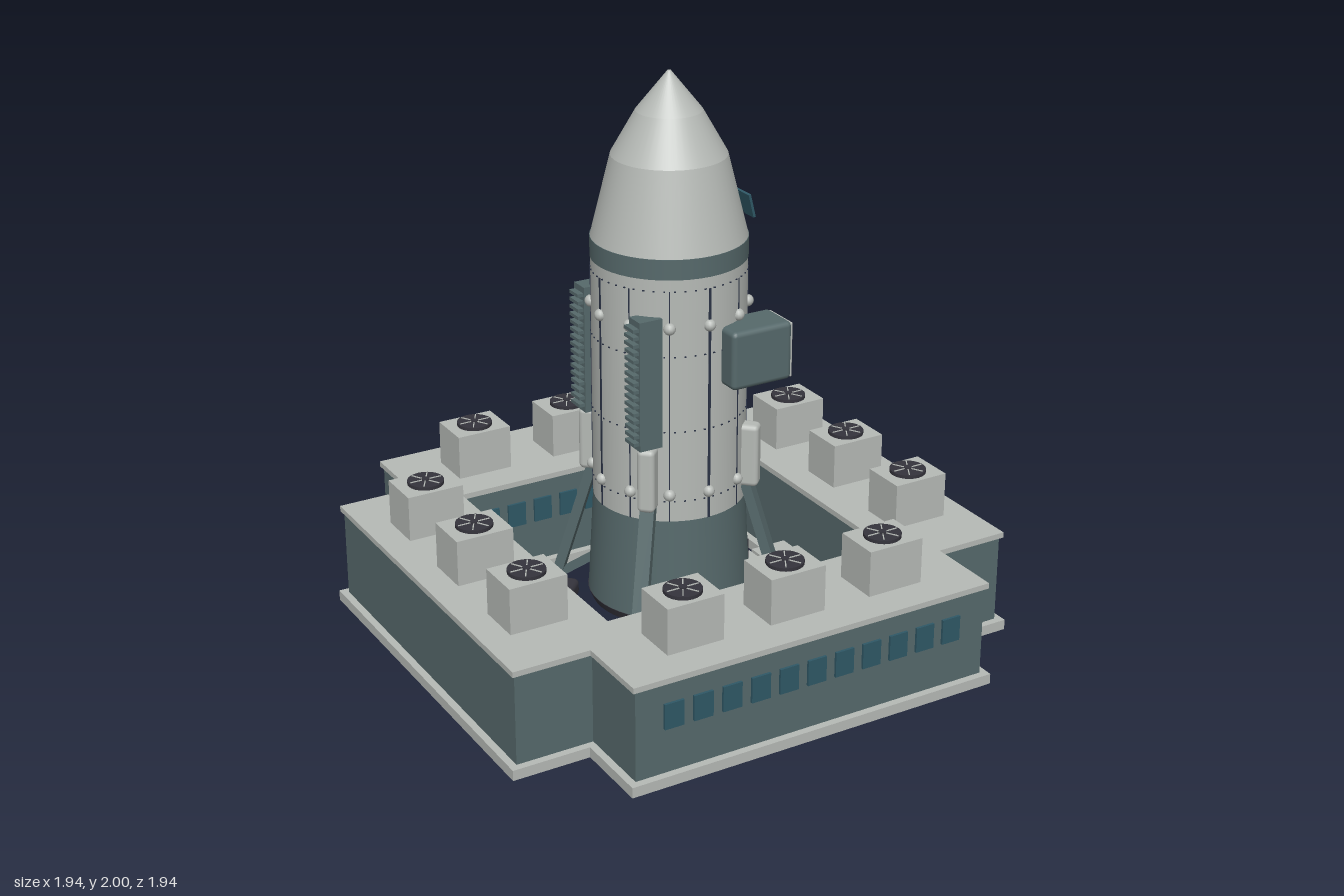
import * as THREE from 'three';
import { RoundedBoxGeometry } from 'three/addons/geometries/RoundedBoxGeometry.js';

const mat = (name, color) => Object.assign(new THREE.MeshStandardMaterial({ color }), { name });

export function createModel() {
  const light = mat('light grey', 0xb6bab6);
  const teal = mat('slate teal', 0x56696b);
  const glass = mat('window blue', 0x2f5866);
  const dark = mat('charcoal', 0x35343c);
  const seam = mat('seam navy', 0x2b3346);

  const model = new THREE.Group();
  model.name = 'rocketBase';

  const add = (parent, name, geo, material, x = 0, y = 0, z = 0) => {
    const mesh = new THREE.Mesh(geo, material);
    mesh.name = name;
    mesh.position.set(x, y, z);
    parent.add(mesh);
    return mesh;
  };
  const group = (parent, name) => {
    const g = new THREE.Group();
    g.name = name;
    parent.add(g);
    return g;
  };
  const box = (w, h, d) => new THREE.BoxGeometry(w, h, d);
  const tube = (rTop, rBottom, y0, y1, open = false) =>
    new THREE.CylinderGeometry(rTop, rBottom, y1 - y0, 48, 1, open).translate(0, (y0 + y1) / 2, 0);

  // Cross-shaped slab with a square courtyard
  const crossSlab = (outer, notch, hole, y0, y1) => {
    const o = outer, n = notch, h = hole;
    const shape = new THREE.Shape([
      [o, -n], [o, n], [n, n], [n, o], [-n, o], [-n, n],
      [-o, n], [-o, -n], [-n, -n], [-n, -o], [n, -o], [n, -n],
    ].map(([x, y]) => new THREE.Vector2(x, y)));
    shape.holes.push(new THREE.Path([[h, h], [h, -h], [-h, -h], [-h, h]].map(([x, y]) => new THREE.Vector2(x, y))));
    return new THREE.ExtrudeGeometry(shape, { depth: y1 - y0, bevelEnabled: false })
      .rotateX(-Math.PI / 2).translate(0, y0, 0);
  };

  const building = group(model, 'building');
  building.position.set(-0.003, 0, -0.003);
  add(building, 'baseSlab', crossSlab(0.968, 0.693, 0.525, 0, 0.037), light);
  add(building, 'walls', crossSlab(0.942, 0.667, 0.553, 0.037, 0.358), teal);
  add(building, 'roofSlab', crossSlab(0.952, 0.678, 0.54, 0.358, 0.378), light);
  add(building, 'doorStep', box(0.04, 0.014, 0.16), light, 0.956, 0.043, 0);

  // Window rows: outer and courtyard walls that face +z or +x
  for (const [angle, dist, count] of [[0, 0.942, 11], [0, -0.553, 9], [Math.PI / 2, 0.942, 11], [Math.PI / 2, -0.553, 9]]) {
    const row = group(building, 'windowRow');
    row.rotation.y = angle;
    for (let i = 0; i < count; i++) {
      add(row, 'window', box(0.07, 0.09, 0.009), glass, (i - (count - 1) / 2) * 0.1062, 0.241, dist + 0.0045);
    }
  }

  // Roof ventilation units
  const ventUnit = (x, z) => {
    const g = group(building, 'ventUnit');
    g.position.set(x, 0.378, z);
    add(g, 'ventBox', box(0.207, 0.163, 0.165), light, 0, 0.0815, 0);
    add(g, 'fanDisc', new THREE.CylinderGeometry(0.064, 0.064, 0.012, 24), dark, 0, 0.169, 0);
    for (let i = 0; i < 3; i++) {
      add(g, 'fanSpoke', box(0.115, 0.004, 0.004), light, 0, 0.1755, 0).rotation.y = i * Math.PI / 3;
    }
    add(g, 'fanHub', new THREE.CylinderGeometry(0.014, 0.014, 0.006, 12), dark, 0, 0.177, 0);
  };
  for (const s of [-1, 1]) {
    for (const t of [-0.383, 0, 0.383]) {
      ventUnit(t, s * 0.748);
      ventUnit(s * 0.748, t);
    }
  }

  // Gangway to the rocket door
  add(model, 'gangway', box(0.14, 0.02, 0.17), light, 0.47, 0.11, 0);
  add(model, 'gangwayTip', box(0.13, 0.016, 0.17), light, 0.325, 0.11, 0);

  // Rocket hull
  const R = 0.265;
  const rocket = group(model, 'rocket');
  add(rocket, 'skirt', tube(R, 0.285, 0.13, 0.5), teal);
  add(rocket, 'body', tube(R, R, 0.5, 1.37), light);
  add(rocket, 'band', tube(R + 0.002, R + 0.002, 1.37, 1.44), teal);
  const nose = [[R, 1.44], [0.196, 1.72], [0.112, 1.868], [0.006, 2]];
  for (let i = 0; i < 3; i++) {
    add(rocket, 'nose', tube(nose[i + 1][0], nose[i][0], nose[i][1], nose[i + 1][1]), light);
  }

  // Seams and studs around the hull
  for (let i = 0; i < 12; i++) {
    const spoke = group(rocket, 'hullSeam');
    spoke.rotation.y = i * Math.PI / 6;
    add(spoke, 'seam', box(0.004, 0.83, i % 3 ? 0.004 : 0.009), seam, R, 0.915, 0);
    for (const y of [0.598, 1.2]) {
      add(spoke, 'stud', new THREE.SphereGeometry(0.021, 12, 8), light, R, y, 0);
    }
  }
  for (const y of [0.575, 0.83, 1.1, 1.33]) {
    for (let i = 0; i < 48; i++) {
      const a = (i + 0.5) * Math.PI / 24;
      add(rocket, 'rivet', box(0.006, 0.004, 0.006), seam, Math.cos(a) * R, y, Math.sin(a) * R).rotation.y = -a;
    }
  }

  // Entrance door in the skirt
  add(rocket, 'door', box(0.03, 0.13, 0.13), dark, 0.275, 0.19, 0);

  // Engine under the skirt
  const engine = group(rocket, 'engine');
  add(engine, 'engineRim', tube(0.287, 0.275, 0.105, 0.135), dark);
  add(engine, 'engineRing', new THREE.TorusGeometry(0.15, 0.022, 10, 40).rotateX(Math.PI / 2), light, 0, 0.105, 0);
  const bell = [[0.03, 0.11], [0.06, 0.1], [0.09, 0.08], [0.11, 0.05], [0.118, 0.05], [0.12, 0.11]];
  const bellMat = dark.clone();
  bellMat.name = 'nozzle charcoal';
  bellMat.side = THREE.DoubleSide;
  add(engine, 'nozzle', new THREE.LatheGeometry(bell.map(([r, y]) => new THREE.Vector2(r, y)), 40), bellMat);
  add(engine, 'injector', new THREE.CylinderGeometry(0.025, 0.025, 0.03, 16), light, 0, 0.092, 0);

  // Landing legs on the diagonals
  for (let i = 0; i < 4; i++) {
    const leg = group(rocket, 'landingLeg');
    leg.rotation.y = Math.PI / 4 + i * Math.PI / 2;
    add(leg, 'legHousing', new RoundedBoxGeometry(0.075, 0.23, 0.062, 2, 0.018), light, 0.283, 0.665, 0);
    const from = new THREE.Vector2(0.27, 0.58), to = new THREE.Vector2(0.43, 0.06);
    const d = to.clone().sub(from);
    const strut = add(leg, 'strut', box(0.035, d.length(), 0.05), teal, (from.x + to.x) / 2, (from.y + to.y) / 2, 0);
    strut.rotation.z = Math.atan2(-d.x, d.y) + Math.PI;
    const brace = add(leg, 'brace', box(0.22, 0.025, 0.03), teal, 0.34, 0.16, 0);
    brace.rotation.z = -0.6;
    add(leg, 'footPad', new RoundedBoxGeometry(0.155, 0.065, 0.145, 2, 0.02), dark, 0.43, 0.0325, 0);
  }

  for (const s of [-1, 1]) {
    // Side pods with pale end plates
    const pod = group(rocket, 'sidePod');
    pod.position.set(0.166, 1.077, s * 0.258);
    add(pod, 'podBody', new RoundedBoxGeometry(0.232, 0.207, 0.152, 2, 0.018), teal);
    add(pod, 'podPlate', new RoundedBoxGeometry(0.009, 0.195, 0.14, 2, 0.004), light, 0.115, 0, 0);

    // Finned radiators
    const radiator = group(rocket, 'radiator');
    radiator.position.set(-0.2, 1.01, s * 0.19);
    add(radiator, 'radiatorBody', box(0.085, 0.46, 0.07), teal);
    for (let i = 0; i < 16; i++) {
      add(radiator, 'fin', box(0.024, 0.012, 0.06), teal, -0.052, (i - 7.5) * 0.027, 0);
    }

    // Cockpit side windows with a cut lower inner corner
    const pane = new THREE.Shape([[0.078, 0.042], [0.16, 0.042], [0.16, -0.042], [0.105, -0.042], [0.078, -0.015]]
      .map(([x, y]) => new THREE.Vector2(s * x, y)));
    const geo = new THREE.ExtrudeGeometry(pane, { depth: 0.009, bevelEnabled: false }).rotateY(Math.PI / 2);
    add(rocket, 'cockpitWindow', geo, glass, 0.221, 1.542, 0).rotation.z = 0.245;
  }
  // Narrow centre pane
  add(rocket, 'cockpitCentre', box(0.009, 0.018, 0.08), glass, 0.233, 1.573, 0).rotation.z = 0.245;

  return model;
}
